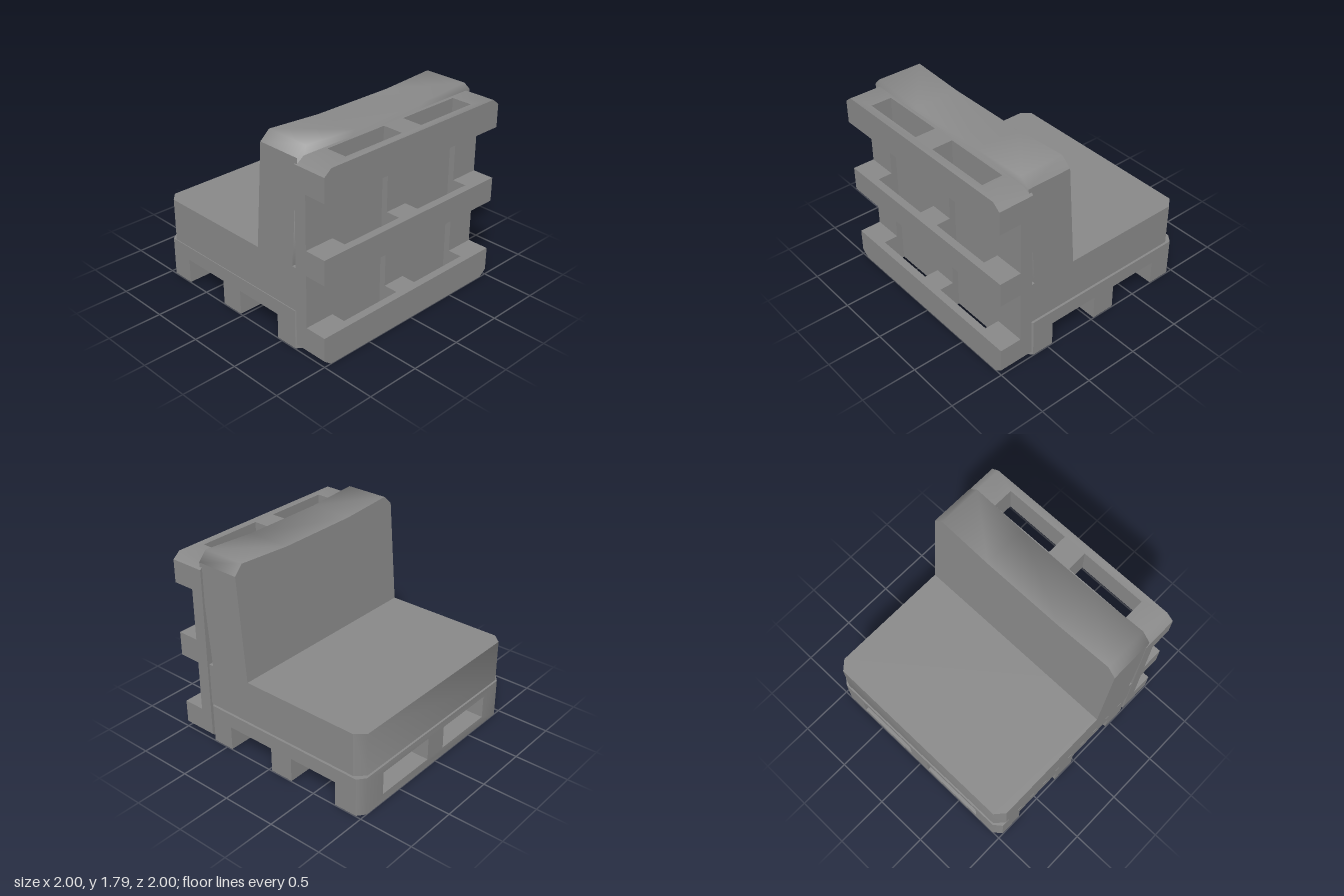
import * as THREE from 'three';
import { mergeGeometries } from 'three/addons/utils/BufferGeometryUtils.js';

const material = new THREE.MeshStandardMaterial({ color: 0x888888 });

const polygon = (points) => new THREE.Shape(points.map(([x, y]) => new THREE.Vector2(x, y)));

function extrude(shape, depth, steps = 1) {
  return new THREE.ExtrudeGeometry(shape, { depth, steps, bevelEnabled: false });
}

function mesh(name, geometry) {
  const m = new THREE.Mesh(geometry, material);
  m.name = name;
  return m;
}

// Move each vertex with a rule that edits a Vector3
function deform(geometry, rule) {
  const pos = geometry.attributes.position;
  const v = new THREE.Vector3();
  for (let i = 0; i < pos.count; i++) {
    rule(v.fromBufferAttribute(pos, i));
    pos.setXYZ(i, v.x, v.y, v.z);
  }
  return geometry;
}

// Flat normals everywhere, except that the picked faces blend into each other
function blendFaces(geometry, pick) {
  geometry.computeVertexNormals();
  const { position, normal } = geometry.attributes;
  const sums = new Map();
  const picked = [];
  for (let i = 0; i < position.count; i++) {
    const n = new THREE.Vector3().fromBufferAttribute(normal, i);
    if (!pick(n)) continue;
    const key = [position.getX(i), position.getY(i), position.getZ(i)].map((c) => c.toFixed(4)).join();
    if (!sums.has(key)) sums.set(key, new THREE.Vector3());
    sums.get(key).add(n);
    picked.push([i, key]);
  }
  for (const sum of sums.values()) sum.normalize();
  for (const [i, key] of picked) normal.setXYZ(i, ...sums.get(key).toArray());
  return geometry;
}

// Pallet: runs along z from 0 to 1.71, deck on top, skids below
const T = 0.36, NOTCH = 0.228, HOLE_LOW = 0.078, HOLE_HIGH = 0.292;
const HOLE_IN = 0.11, HOLE_OUT = 0.72;
const CUTS = [0, 0.27, 0.747, 0.97, 1.445, 1.71];

// Section through a skid: full block with two fork openings
function skidSection() {
  const s = polygon([[-1, 0], [1, 0], [1, T], [-1, T]]);
  for (const [a, b] of [[-HOLE_OUT, -HOLE_IN], [HOLE_IN, HOLE_OUT]]) {
    s.holes.push(polygon([[a, HOLE_LOW], [a, HOLE_HIGH], [b, HOLE_HIGH], [b, HOLE_LOW]]));
  }
  return s;
}

// Section between skids: deck with three shallow stringers
function deckSection() {
  return polygon([
    [-1, NOTCH], [-HOLE_OUT, NOTCH], [-HOLE_OUT, HOLE_HIGH], [-HOLE_IN, HOLE_HIGH], [-HOLE_IN, NOTCH],
    [HOLE_IN, NOTCH], [HOLE_IN, HOLE_HIGH], [HOLE_OUT, HOLE_HIGH], [HOLE_OUT, NOTCH],
    [1, NOTCH], [1, T], [-1, T],
  ]);
}

// Skid at either end, its outer corners cut off
function endSkid(depth, atStart) {
  const cut = 0.055, inset = 0.93;
  const skid = deform(extrude(skidSection(), depth, 2), (v) => {
    const outer = atStart ? v.z < 0.001 : v.z > depth - 0.001;
    if (Math.abs(v.z - depth / 2) < 0.001) v.z = atStart ? cut : depth - cut;
    else if (outer && Math.abs(v.x) > 0.99) v.x = Math.sign(v.x) * inset;
  });
  return blendFaces(skid, (n) => (atStart ? -n.z : n.z) > 0.3);
}

function pallet(name) {
  const parts = [];
  for (let i = 0; i < 5; i++) {
    const depth = CUTS[i + 1] - CUTS[i];
    let g;
    if (i === 0 || i === 4) g = endSkid(depth, i === 0);
    else g = extrude(i % 2 ? deckSection() : skidSection(), depth);
    parts.push(g.translate(0, 0, CUTS[i]));
  }
  return mesh(name, mergeGeometries(parts));
}

export function createModel() {
  const group = new THREE.Group();
  group.name = 'palletSofa';

  // Lying pallet under the seat
  const base = pallet('basePallet');
  base.scale.x = 0.995;
  base.position.z = -1;
  group.add(base);

  // Standing pallet, skids facing outwards
  const back = pallet('backPallet');
  back.scale.y = 0.32 / T;
  back.rotation.x = -Math.PI / 2;
  back.position.z = 1;
  group.add(back);

  // Seat cushion: plan outline with cut front corners, extruded upwards
  const L = -0.995, R = 0.98, SEAT_LOW = 0.367, SEAT_TOP = 0.763;
  const plan = polygon([
    [L, -0.68], [R, -0.68], [R, 0.902], [R - 0.075, 0.987], [L + 0.075, 0.987], [L, 0.902],
  ]);
  const seat = extrude(plan, SEAT_TOP - SEAT_LOW).rotateX(-Math.PI / 2).translate(0, SEAT_LOW, 0);
  group.add(mesh('seatCushion', blendFaces(seat, (n) => n.z < -0.3)));

  // Back cushion: sagging top edge, sheared to lean backwards,
  // with the top rolling softly into the rear face
  const front = polygon([
    [L, SEAT_TOP], [R, SEAT_TOP], [R, 1.71], [R - 0.085, 1.792], [0.38, 1.76],
    [-0.4, 1.76], [L + 0.085, 1.792], [L, 1.71],
  ]);
  const rest = deform(extrude(front, 0.41), (v) => {
    v.z += 0.225 + 0.0777 * (v.y - SEAT_TOP);
  });
  group.add(mesh('backCushion', blendFaces(rest, (n) => n.y > 0.5 || n.z > 0.9)));

  return group;
}
